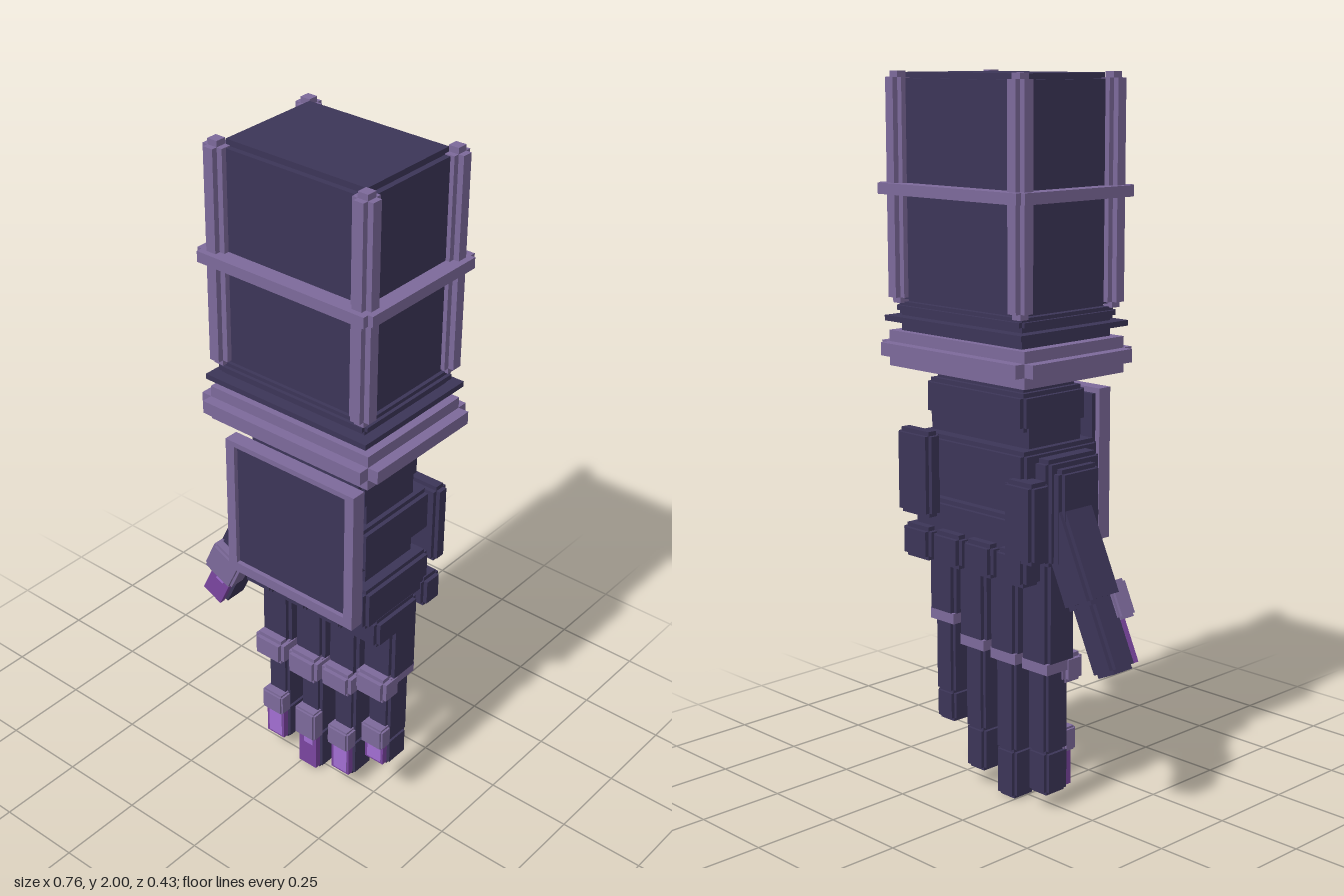
import * as THREE from 'three';
import { mergeGeometries } from 'three/addons/utils/BufferGeometryUtils.js';

const paint = (name, color) => {
  const m = new THREE.MeshStandardMaterial({ color });
  m.name = name;
  return m;
};

export function createModel() {
  const dark = paint('darkIndigo', 0x3c3558);
  const light = paint('paleViolet', 0x7d6a9b);
  const purple = paint('nailPurple', 0x7a45a0);
  const bright = paint('nailHighlight', 0xa26fd2);
  const model = new THREE.Group();
  model.name = 'gauntlet';

  const boxGeo = (x0, x1, y0, y1, z0, z1) =>
    new THREE.BoxGeometry(x1 - x0, y1 - y0, z1 - z0)
      .translate((x0 + x1) / 2, (y0 + y1) / 2, (z0 + z1) / 2);

  // Block with stepped edges: three crossed boxes, each full along two axes' insets
  function chunk(parent, name, mat, x0, x1, y0, y1, z0, z1, b = 0.012) {
    const geo = b === 0 ? boxGeo(x0, x1, y0, y1, z0, z1) : mergeGeometries([
      boxGeo(x0, x1, y0 + b, y1 - b, z0 + b, z1 - b),
      boxGeo(x0 + b, x1 - b, y0, y1, z0 + b, z1 - b),
      boxGeo(x0 + b, x1 - b, y0 + b, y1 - b, z0, z1),
    ]);
    const mesh = new THREE.Mesh(geo, mat);
    mesh.name = name;
    parent.add(mesh);
    return mesh;
  }
  const group = (name) => {
    const g = new THREE.Group();
    g.name = name;
    model.add(g);
    return g;
  };

  // Forearm: core, corner posts, middle ring
  const arm = group('forearm');
  chunk(arm, 'forearmCore', dark, -0.145, 0.32, 1.38, 1.997, -0.17, 0.17, 0.016);
  for (const x of [-0.145, 0.317])
    for (const z of [-0.17, 0.17])
      chunk(arm, 'cornerPost', light, x - 0.031, x + 0.031, 1.385, 2, z - 0.031, z + 0.031, 0.016);
  const ringBars = [
    [-0.192, 0.365, 0.155, 0.2], [-0.192, 0.365, -0.2, -0.155],
    [-0.178, 0.351, 0.17, 0.217], [-0.178, 0.351, -0.217, -0.17],
    [-0.192, -0.135, -0.2, 0.2], [0.308, 0.365, -0.2, 0.2],
  ];
  for (const [x0, x1, z0, z1] of ringBars)
    chunk(arm, 'middleRing', light, x0, x1, 1.678, 1.708, z0, z1, 0);

  // Layered neck, cuff and wrist
  const wrist = group('wrist');
  chunk(wrist, 'neckUpper', dark, -0.16, 0.333, 1.355, 1.388, -0.18, 0.18, 0.01);
  chunk(wrist, 'neckDisc', dark, -0.178, 0.351, 1.335, 1.35, -0.2, 0.2, 0);
  chunk(wrist, 'neckCore', dark, -0.145, 0.32, 1.29, 1.37, -0.165, 0.165, 0);
  chunk(wrist, 'cuff', light, -0.207, 0.38, 1.21, 1.308, -0.217, 0.217, 0.031);
  chunk(wrist, 'wristCore', dark, -0.08, 0.255, 1.12, 1.23, -0.095, 0.095, 0);

  // Palm with raised bands
  const palm = group('palm');
  chunk(palm, 'palmCore', dark, -0.1, 0.28, 0.7, 1.15, -0.095, 0.1, 0);
  chunk(palm, 'upperBand', dark, -0.105, 0.28, 1.075, 1.178, -0.12, 0.12);
  chunk(palm, 'middleBand', dark, -0.13, 0.305, 0.9, 1.03, -0.143, 0.143);
  chunk(palm, 'lowerBand', dark, -0.14, 0.32, 0.72, 0.845, -0.13, 0.143);
  chunk(palm, 'outerPad', dark, 0.2, 0.335, 0.8, 1.04, -0.182, -0.13);
  chunk(palm, 'innerPad', dark, -0.19, -0.08, 0.74, 0.96, -0.175, -0.1);
  chunk(palm, 'thumbMount', dark, -0.178, -0.09, 0.72, 1.01, -0.1, 0.1);
  chunk(palm, 'thumbCap', dark, -0.207, -0.15, 0.72, 0.985, -0.08, 0.07);

  // Framed plate on the front of the hand
  const plate = group('handPlate');
  chunk(plate, 'platePanel', dark, -0.115, 0.29, 0.76, 1.15, 0.13, 0.172, 0);
  chunk(plate, 'frameLeft', light, 0.276, 0.305, 0.745, 1.165, 0.143, 0.185, 0);
  chunk(plate, 'frameRight', light, -0.13, -0.101, 0.745, 1.165, 0.143, 0.185, 0);
  chunk(plate, 'frameBottom', light, -0.101, 0.276, 0.745, 0.774, 0.143, 0.185, 0);
  chunk(plate, 'frameTop', light, -0.101, 0.276, 1.15, 1.165, 0.143, 0.185, 0);

  // Fingers: centre x, joint bottom and top, tip guard bottom and top, tip end, highlight
  const fingers = [
    [-0.093, 0.365, 0.44, 0.16, 0.23, 0.05, true],
    [0.032, 0.36, 0.44, 0.13, 0.23, 0.003, false],
    [0.156, 0.38, 0.45, 0.16, 0.23, 0.05, true],
    [0.28, 0.425, 0.5, 0.24, 0.31, 0.165, true],
  ];
  for (const [x, j0, j1, g0, g1, end, lit] of fingers) {
    const f = group('finger');
    f.position.x = x;
    chunk(f, 'backKnuckle', dark, -0.056, 0.056, 0.67, 0.765, -0.165, -0.09);
    chunk(f, 'frontKnuckle', dark, -0.053, 0.053, 0.645, 0.735, -0.07, 0.11);
    chunk(f, 'upperSegment', dark, -0.053, 0.053, j1 - 0.015, 0.73, -0.07, 0.04);
    chunk(f, 'jointCap', light, -0.048, 0.048, j1 - 0.035, j1 - 0.004, -0.066, 0.036, 0);
    chunk(f, 'jointGuard', light, -0.053, 0.053, j0, j1 + 0.005, 0, 0.075);
    chunk(f, 'middleSegment', dark, -0.038, 0.038, g0 + 0.01, j1, -0.06, 0.03, 0.01);
    chunk(f, 'tipGuard', light, -0.038, 0.038, g0, g1, 0.015, 0.06, 0.006);
    chunk(f, 'fingertip', dark, -0.038, 0.038, end, g0 + 0.02, -0.058, 0.03, 0.01);
    chunk(f, 'nail', purple, -0.032, 0.032, end + 0.012, g0, 0.025, 0.043, 0);
    if (lit)
      chunk(f, 'nailHighlight', bright, -0.022, 0.026, end + 0.02, g0, 0.043, 0.046, 0);
    else
      chunk(f, 'nailHighlight', bright, -0.012, 0.022, g0 - 0.03, g0, 0.043, 0.046, 0);
  }

  // Thumb, angled outward
  const thumb = group('thumb');
  thumb.position.set(-0.344, 0.452, 0);
  thumb.rotation.z = -0.436;
  chunk(thumb, 'thumbBase', dark, -0.055, 0.055, 0.19, 0.46, -0.078, 0.045);
  chunk(thumb, 'thumbGuard', light, -0.055, 0.055, 0.13, 0.235, 0.01, 0.075, 0.008);
  chunk(thumb, 'thumbTip', dark, -0.043, 0.043, 0, 0.21, -0.063, 0.03);
  chunk(thumb, 'thumbNail', purple, -0.036, 0.036, 0.012, 0.135, 0.025, 0.043, 0);
  chunk(thumb, 'thumbNailHighlight', bright, -0.012, 0.016, 0.09, 0.13, 0.043, 0.046, 0);

  return model;
}
